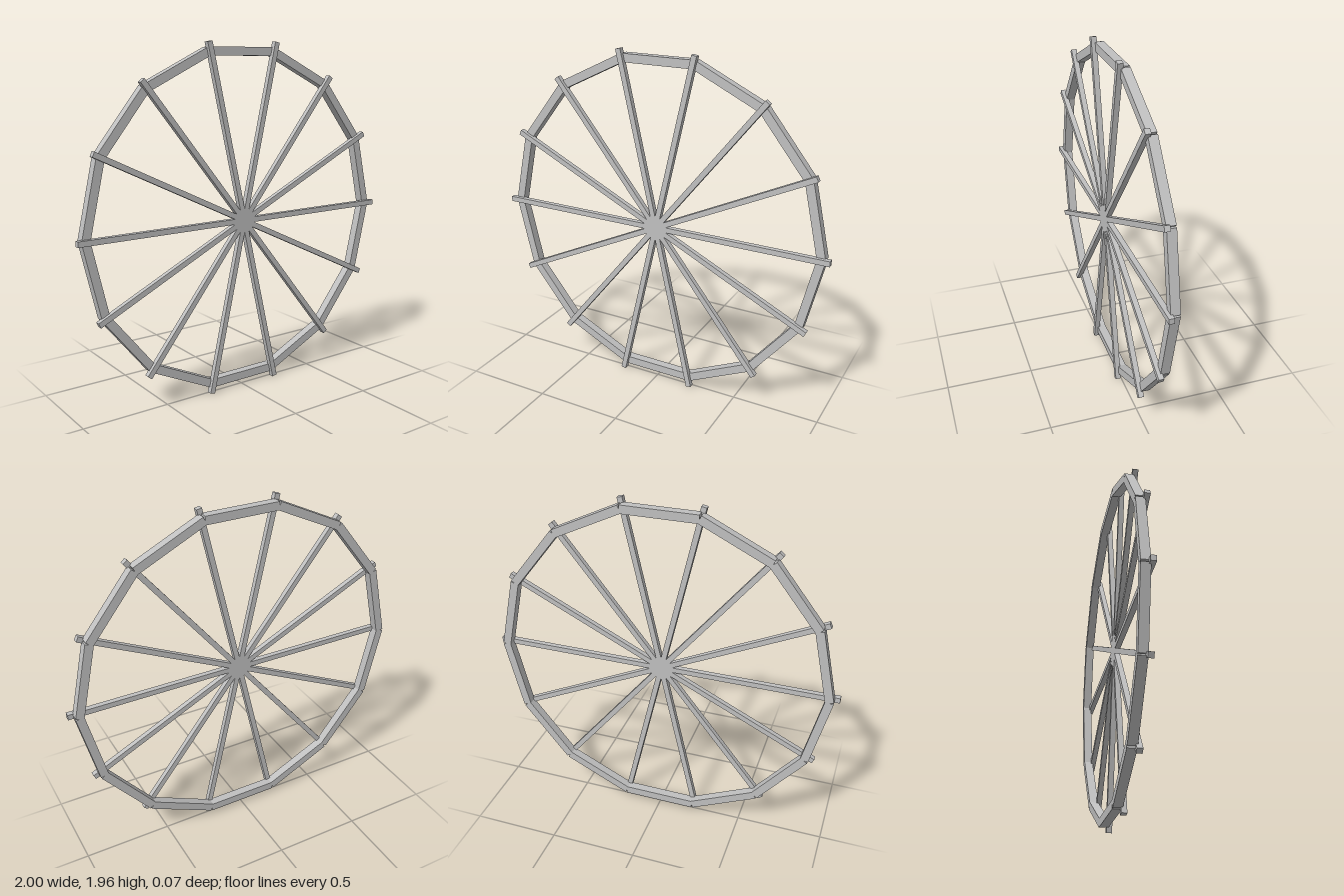
import * as THREE from 'three';

const SIDES = 14;
const STEP = (Math.PI * 2) / SIDES;
const CENTRE_Y = 0.978;

export function createModel() {
  const group = new THREE.Group();
  const grey = new THREE.MeshStandardMaterial({ color: 0xc0c0c0 });
  grey.name = 'light grey';

  const wheel = new THREE.Group();
  wheel.name = 'wheel';
  wheel.position.y = CENTRE_Y;
  group.add(wheel);

  // Full-width bars crossing at the hub, each forming two opposite spokes
  const barGeometry = new THREE.BoxGeometry(2, 0.03, 0.03);
  for (let i = 0; i < SIDES / 2; i++) {
    const bar = new THREE.Mesh(barGeometry, grey);
    bar.name = `spokeBar${i + 1}`;
    bar.position.z = 0.02;
    bar.rotation.z = i * STEP;
    wheel.add(bar);
  }

  // Straight rim beams behind the spokes, meeting at the spoke lines
  const apothem = 0.925;
  const beamLength = 2 * apothem * Math.tan(STEP / 2);
  const beamGeometry = new THREE.BoxGeometry(0.047, beamLength, 0.05);
  for (let i = 0; i < SIDES; i++) {
    const angle = (i + 0.5) * STEP;
    const beam = new THREE.Mesh(beamGeometry, grey);
    beam.name = `rimBeam${i + 1}`;
    beam.position.set(apothem * Math.cos(angle), apothem * Math.sin(angle), -0.01);
    beam.rotation.z = angle;
    wheel.add(beam);
  }

  return group;
}
